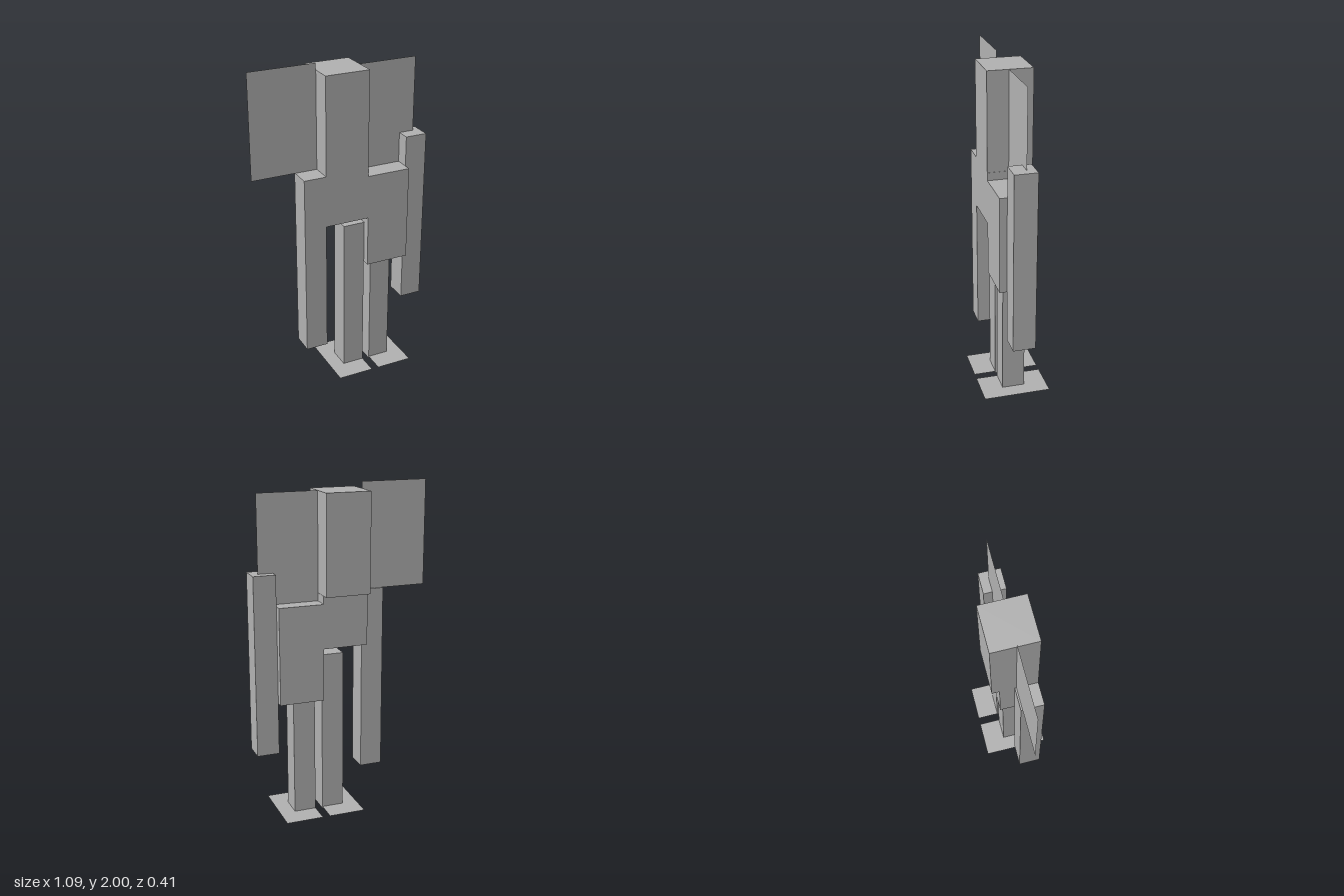
import * as THREE from 'three';

export function createModel() {
  const model = new THREE.Group();
  const grey = new THREE.MeshStandardMaterial({ color: 0xb0b0b0, side: THREE.DoubleSide });
  grey.name = 'plain grey';

  function add(name, geometry, x, y, z) {
    const mesh = new THREE.Mesh(geometry, grey);
    mesh.name = name;
    mesh.position.set(x, y, z);
    model.add(mesh);
    return mesh;
  }

  // Box given by its limits on each axis
  function block(name, [x0, x1], [y0, y1], [z0, z1]) {
    add(name, new THREE.BoxGeometry(x1 - x0, y1 - y0, z1 - z0),
      (x0 + x1) / 2, (y0 + y1) / 2, (z0 + z1) / 2);
  }

  // Upright sheet facing front and back
  function panel(name, [x0, x1], [y0, y1], z) {
    add(name, new THREE.PlaneGeometry(x1 - x0, y1 - y0), (x0 + x1) / 2, (y0 + y1) / 2, z);
  }

  // Flat sheet just above the ground
  function sole(name, [x0, x1], [z0, z1], y) {
    add(name, new THREE.PlaneGeometry(x1 - x0, z1 - z0).rotateX(-Math.PI / 2),
      (x0 + x1) / 2, y, (z0 + z1) / 2);
  }

  // Head and stepped body share a flush front
  block('head', [-0.137, 0.135], [1.365, 1.96], [-0.158, 0.112]);
  block('bodyRight', [-0.137, 0.137], [1.047, 1.365], [-0.113, 0.112]);
  block('bodyLeft', [0.137, 0.408], [0.73, 1.317], [-0.113, 0.112]);

  // Thin side panels beside the head
  panel('panelRight', [-0.545, -0.137], [1.365, 2.0], -0.015);
  panel('panelLeft', [0.135, 0.5], [1.317, 1.96], -0.015);

  // Arms
  block('armRight', [-0.274, -0.137], [0.23, 1.365], [-0.025, 0.112]);
  block('armLeft', [0.408, 0.543], [0.412, 1.502], [-0.068, 0.068]);

  // Legs
  block('legRight', [0, 0.135], [0, 1.0], [-0.068, 0.068]);
  block('legLeft', [0.181, 0.315], [0, 0.73], [-0.068, 0.068]);

  // Feet
  sole('footRight', [-0.09, 0.135], [-0.204, 0.202], 0.012);
  sole('footLeft', [0.181, 0.408], [-0.204, 0.202], 0.012);

  return model;
}
